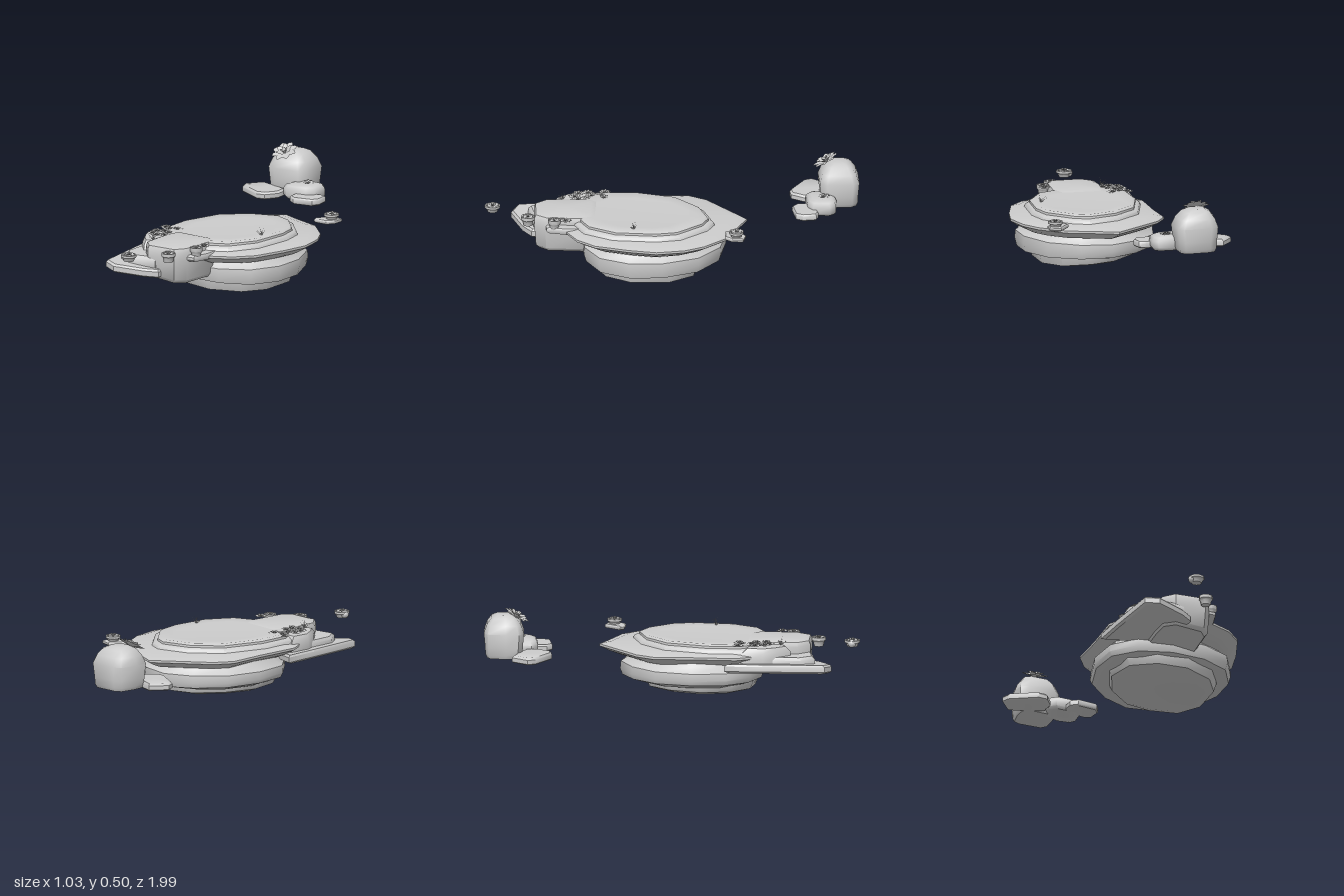
import * as THREE from 'three';
import { toCreasedNormals } from 'three/addons/utils/BufferGeometryUtils.js';

const stone = new THREE.MeshStandardMaterial({ color: 0xcccccc, side: THREE.DoubleSide });
stone.name = 'pale grey';

// Rock lofted from one outline of [x, z] points; layers are [y, scale, slopeX, slopeZ], bottom to top
function rock(name, outline, layers, crease = 0.75) {
  const n = outline.length;
  const cx = outline.reduce((s, p) => s + p[0], 0) / n;
  const cz = outline.reduce((s, p) => s + p[1], 0) / n;
  const pos = [], idx = [];
  for (const [y, s, sx = 0, sz = 0] of layers) {
    for (const [x, z] of outline) {
      const dx = (x - cx) * s, dz = (z - cz) * s;
      pos.push(cx + dx, y + sx * dx + sz * dz, cz + dz);
    }
  }
  const top = (layers.length - 1) * n, low = layers.length * n;
  pos.push(cx, layers[0][0], cz, cx, layers.at(-1)[0], cz);
  for (let i = 0; i < n; i++) {
    const j = (i + 1) % n;
    for (let r = 0; r < top; r += n) idx.push(r + j, r + i, r + n + i, r + j, r + n + i, r + n + j);
    idx.push(low, i, j, low + 1, top + j, top + i);
  }
  const geo = new THREE.BufferGeometry();
  geo.setAttribute('position', new THREE.Float32BufferAttribute(pos, 3));
  geo.setIndex(idx);
  const mesh = new THREE.Mesh(toCreasedNormals(geo, crease), stone);
  mesh.name = name;
  return mesh;
}

// Folded pointed leaf, one unit long along +z
function leafGeometry() {
  const geo = new THREE.BufferGeometry();
  geo.setAttribute('position', new THREE.Float32BufferAttribute(
    [0, 0, 0, 0.3, 0.1, 0.55, 0, 0.02, 0.6, -0.3, 0.1, 0.55, 0.2, 0.1, 0.85, -0.2, 0.1, 0.85, 0, 0.05, 1], 3));
  geo.setIndex([0, 2, 1, 0, 3, 2, 2, 4, 1, 2, 6, 4, 2, 3, 5, 2, 5, 6]);
  geo.computeVertexNormals();
  return geo;
}
const leaf = leafGeometry();

// Succulent rosette: rings of leaves that rise towards the middle
function rosette(name, x, y, z, r, tilt = 0) {
  const g = new THREE.Group();
  g.name = name;
  [[8, 1, 0.15], [6, 0.75, 0.5], [4, 0.5, 0.95]].forEach(([count, size, lift], ring) => {
    for (let i = 0; i < count; i++) {
      const m = new THREE.Mesh(leaf, stone);
      m.name = 'leaf';
      m.rotation.set(-lift, (i / count) * Math.PI * 2 + ring * 0.4, 0, 'YXZ');
      m.scale.setScalar(r * size);
      g.add(m);
    }
  });
  g.position.set(x, y, z);
  g.rotation.x = tilt;
  return g;
}

// Tuft of thin blades leaning outwards
function tuft(name, x, y, z, h) {
  const g = new THREE.Group();
  g.name = name;
  const blade = new THREE.ConeGeometry(0.0018, 1, 3).translate(0, 0.5, 0);
  for (let i = 0; i < 9; i++) {
    const m = new THREE.Mesh(blade, stone);
    m.name = 'blade';
    m.rotation.set(0.25 + (i % 3) * 0.35, i * 2.4, 0, 'YXZ');
    m.scale.y = h * (0.75 + (i % 4) * 0.1);
    g.add(m);
  }
  g.position.set(x, y, z);
  return g;
}

// Small tapered pot with a rim and a plant
function pot(name, x, y, z, r, h) {
  const g = new THREE.Group();
  g.name = name;
  const profile = [[0, 0], [0.65, 0], [0.8, 0.5], [1, 0.65], [1, 1], [0.82, 1], [0.75, 0.8], [0, 0.8]]
    .map(([a, b]) => new THREE.Vector2(a * r, b * h));
  const bowl = new THREE.Mesh(toCreasedNormals(new THREE.LatheGeometry(profile, 9), 0.7), stone);
  bowl.name = 'bowl';
  g.add(bowl, rosette('potPlant', 0, h * 0.85, 0, r * 0.85));
  g.position.set(x, y, z);
  return g;
}

export function createModel() {
  const model = new THREE.Group();
  model.name = 'rockIsland';

  // Main island: base, middle shelf, overhanging rim and raised top
  const base = [[-0.02, -0.15], [0.12, -0.18], [0.28, -0.15], [0.37, -0.02], [0.38, 0.2], [0.31, 0.34],
    [0.15, 0.43], [-0.02, 0.42], [-0.16, 0.33], [-0.21, 0.16], [-0.15, -0.02]];
  const shelf = [[0.03, -0.3], [0.2, -0.28], [0.36, -0.17], [0.45, 0.02], [0.46, 0.2], [0.39, 0.36],
    [0.24, 0.45], [0.05, 0.47], [-0.13, 0.42], [-0.25, 0.3], [-0.28, 0.12], [-0.24, -0.08], [-0.12, -0.22]];
  const rim = [[0.02, -0.41], [0.13, -0.37], [0.29, -0.32], [0.42, -0.2], [0.48, -0.1], [0.515, 0.05],
    [0.49, 0.2], [0.44, 0.38], [0.36, 0.48], [0.22, 0.56], [0, 0.58], [-0.18, 0.52], [-0.275, 0.36],
    [-0.28, 0.12], [-0.295, -0.08], [-0.24, -0.18]];
  const crown = [[0.14, -0.22], [0.22, -0.19], [0.35, -0.06], [0.38, 0.06], [0.37, 0.28], [0.29, 0.43],
    [0.12, 0.52], [-0.1, 0.5], [-0.2, 0.38], [-0.21, 0.2], [-0.15, -0.03], [-0.02, -0.16]];
  model.add(
    rock('islandBase', base, [[0.017, 0.8, -0.04], [0.03, 0.95, -0.05], [0.07, 1, -0.02], [0.1, 1]]),
    rock('middleShelf', shelf, [[0.07, 0.8], [0.085, 0.97, -0.03], [0.12, 1.0], [0.16, 0.99], [0.19, 0.88], [0.22, 0.84]]),
    rock('overhangingRim', rim, [[0.195, 0.8], [0.215, 0.9], [0.24, 1], [0.252, 1], [0.265, 0.88]]),
    rock('crownStep', crown, [[0.24, 1.09], [0.278, 1.05], [0.288, 1]]),
    rock('crown', crown, [[0.27, 0.98], [0.3, 0.97], [0.309, 0.92], [0.305, 0.7]]));

  // Front boulder with the ledges beside it
  const boulder = [[-0.06, 0.39], [0.16, 0.39], [0.195, 0.43], [0.19, 0.66], [0.15, 0.72], [-0.02, 0.73],
    [-0.08, 0.67], [-0.09, 0.56], [-0.09, 0.43]];
  const ledge = [[-0.3, 0.3], [-0.1, 0.38], [0.06, 0.55], [0.06, 0.74], [0, 0.79], [-0.15, 0.86], [-0.225, 0.83], [-0.275, 0.5]];
  const step = [[-0.22, 0.4], [-0.05, 0.4], [0.03, 0.55], [0.03, 0.73], [-0.04, 0.75], [-0.13, 0.77], [-0.19, 0.7], [-0.2, 0.55]];
  model.add(
    rock('frontBoulder', boulder, [[0.125, 0.85, -0.11], [0.145, 0.95, -0.11], [0.24, 1], [0.285, 1], [0.305, 0.95], [0.312, 0.8]]),
    rock('lowLedge', ledge, [[0.155, 0.92, -0.11], [0.165, 1, -0.11], [0.192, 1, -0.11], [0.203, 0.95, -0.11]], 0.6),
    rock('upperLedge', step, [[0.17, 0.95], [0.19, 1], [0.23, 0.98], [0.245, 0.88]]),
    rock('ledgeBlock', [[-0.23, 0.38], [-0.08, 0.38], [-0.05, 0.6], [-0.12, 0.64], [-0.18, 0.58], [-0.23, 0.5]],
      [[0.19, 0.95], [0.21, 1], [0.27, 0.95], [0.295, 0.75]]),
    rock('sideBlock', [[0.16, 0.4], [0.24, 0.42], [0.25, 0.55], [0.23, 0.65], [0.17, 0.66]],
      [[0.235, 0.9], [0.245, 1], [0.26, 1], [0.268, 0.9]]));

  // Separate rock group at the back
  const dome = [[-0.4, -0.96], [-0.36, -0.985], [-0.21, -1], [-0.18, -0.97], [-0.17, -0.83], [-0.2, -0.79],
    [-0.35, -0.77], [-0.4, -0.79], [-0.41, -0.86]];
  model.add(
    rock('tallBoulder', dome, [[0.24, 0.84], [0.26, 0.92], [0.3, 0.94], [0.375, 1], [0.42, 0.85], [0.455, 0.62], [0.47, 0.36]], 1),
    rock('flatStone', [[-0.46, -0.82], [-0.37, -0.8], [-0.27, -0.77], [-0.26, -0.7], [-0.3, -0.63], [-0.35, -0.62], [-0.5, -0.69], [-0.52, -0.73]],
      [[0.237, 0.92], [0.243, 1], [0.265, 1], [0.276, 0.9]]),
    rock('roundStone', [[-0.25, -0.84], [-0.17, -0.88], [-0.09, -0.88], [-0.065, -0.85], [-0.065, -0.76], [-0.1, -0.73], [-0.22, -0.71], [-0.26, -0.74]],
      [[0.24, 0.88], [0.255, 1], [0.29, 1], [0.31, 0.88], [0.318, 0.65]], 1),
    rock('smallSlab', [[-0.17, -0.75], [-0.04, -0.79], [-0.005, -0.78], [0.01, -0.71], [-0.01, -0.67], [-0.12, -0.645], [-0.16, -0.67]],
      [[0.24, 0.92], [0.246, 1], [0.268, 1], [0.276, 0.92]]));

  // Succulents on the stones
  model.add(
    rosette('boulderSucculent', -0.31, 0.455, -0.82, 0.075, 0.5),
    rosette('stoneSucculent', -0.15, 0.312, -0.81, 0.04, 0.2),
    rosette('sideSucculent', 0.22, 0.3, 0.55, 0.035));
  for (let i = 0; i < 9; i++) {
    model.add(rosette('groundCover', -0.19 + (i % 3) * 0.035 + i * 0.004, 0.3, 0.36 + Math.floor(i / 3) * 0.07 + (i % 2) * 0.02, 0.035));
  }

  // Grass tufts
  model.add(tuft('crownGrass', 0.32, 0.305, 0.18, 0.05), tuft('ledgeGrass', -0.1, 0.295, 0.58, 0.05));

  // Pots around the island and a stand at the rear
  model.add(
    pot('frontPot', 0.025, 0.272, 0.95, 0.042, 0.035),
    pot('boulderPot', 0.14, 0.245, 0.755, 0.038, 0.05),
    pot('sidePot', 0.215, 0.25, 0.61, 0.034, 0.06),
    pot('rearPot', 0.36, 0.285, -0.37, 0.04, 0.035),
    rock('rearStand', [[0.34, -0.42], [0.4, -0.41], [0.4, -0.35], [0.37, -0.31], [0.29, -0.31], [0.28, -0.33]],
      [[0.272, 0.9], [0.278, 1], [0.288, 1], [0.293, 0.9]]));
  const knob = new THREE.Mesh(new THREE.SphereGeometry(0.022, 8, 6), stone);
  knob.name = 'frontPotPebble';
  knob.position.set(0, 0.292, 0.95);
  model.add(knob);
  return model;
}
